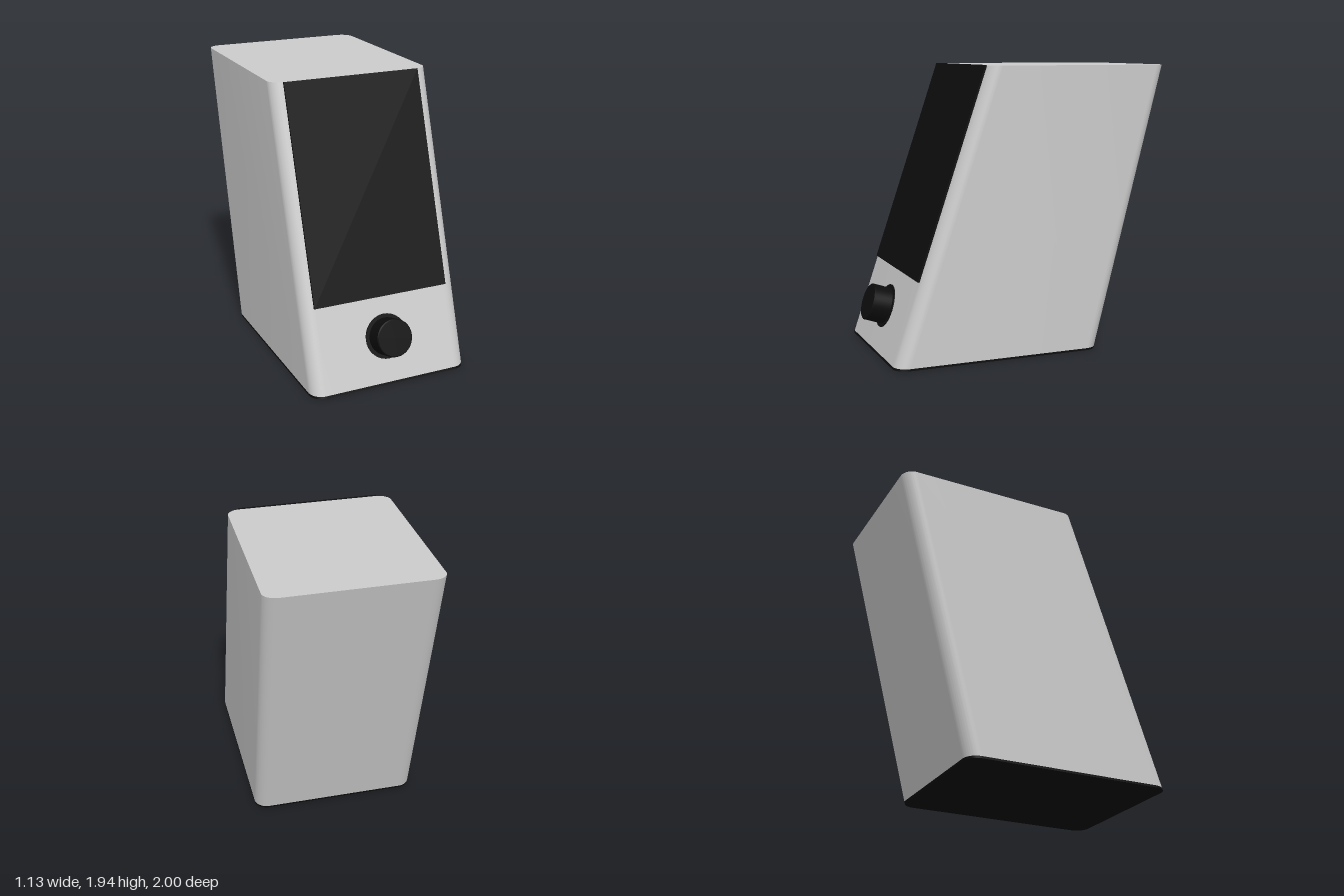
import * as THREE from 'three';
import { toCreasedNormals } from 'three/addons/utils/BufferGeometryUtils.js';

const HALF_W = 0.565, CORNER = 0.09, HEIGHT = 1.94, HALF_D = 0.72;
const FRONT = [0.94, 0.28], BACK = [-0.505, -1.0]; // z at the bottom and at the top
const TILT = Math.atan((FRONT[0] - FRONT[1]) / HEIGHT);

const grey = new THREE.MeshStandardMaterial({ color: 0xcccccc });
const black = new THREE.MeshStandardMaterial({ color: 0x0d0d0d });

function roundedRect(w, d, r) {
  const s = new THREE.Shape();
  s.absarc(w - r, d - r, r, 0, Math.PI / 2);
  s.absarc(-w + r, d - r, r, Math.PI / 2, Math.PI);
  s.absarc(-w + r, -d + r, r, Math.PI, Math.PI * 1.5);
  s.absarc(w - r, -d + r, r, Math.PI * 1.5, Math.PI * 2);
  s.closePath();
  return s;
}

// Slice of the leaning, slightly tapering housing between two heights
function housingSlice(y0, y1) {
  const g = new THREE.ExtrudeGeometry(roundedRect(HALF_W, HALF_D, CORNER), {
    depth: y1 - y0, bevelEnabled: false, curveSegments: 10,
  });
  g.rotateX(-Math.PI / 2).translate(0, y0, 0);
  const p = g.attributes.position;
  for (let i = 0; i < p.count; i++) {
    const t = p.getY(i) / HEIGHT;
    const back = THREE.MathUtils.lerp(BACK[0], BACK[1], t);
    const front = THREE.MathUtils.lerp(FRONT[0], FRONT[1], t);
    p.setZ(i, THREE.MathUtils.lerp(back, front, (p.getZ(i) + HALF_D) / (2 * HALF_D)));
  }
  return toCreasedNormals(g, 0.6);
}

function part(name, geometry, material) {
  const m = new THREE.Mesh(geometry, material);
  m.name = name;
  return m;
}

// Group lying on the sloping front at height y, with its z axis along the slope's normal
function onFront(name, y) {
  const g = new THREE.Group();
  g.name = name;
  g.position.set(0, y, THREE.MathUtils.lerp(FRONT[0], FRONT[1], y / HEIGHT));
  g.rotation.x = -TILT;
  return g;
}

export function createModel() {
  const model = new THREE.Group();
  model.name = 'deskSpeaker';

  // Housing and dark foot plate
  model.add(part('housing', housingSlice(0.014, HEIGHT), grey));
  model.add(part('footPlate', housingSlice(0, 0.014), black));

  // Front panel
  const panel = onFront('frontPanel', 1.247);
  const length = (1.94 - 0.554) / Math.cos(TILT);
  const slab = part('panelSlab', new THREE.BoxGeometry(0.964, length, 0.02), black);
  slab.position.z = 0.003;
  panel.add(slab);
  model.add(panel);

  // Round knob with a thin flange
  const knob = onFront('knob', 0.302);
  const profile = [[0, -0.01], [0.15, -0.01], [0.15, 0.006], [0.125, 0.006],
    [0.125, 0.129], [0.119, 0.135], [0, 0.135]].map(([r, h]) => new THREE.Vector2(r, h));
  const turned = new THREE.LatheGeometry(profile, 32).rotateX(Math.PI / 2);
  knob.add(part('knobBody', toCreasedNormals(turned, 0.6), black));
  model.add(knob);

  return model;
}
